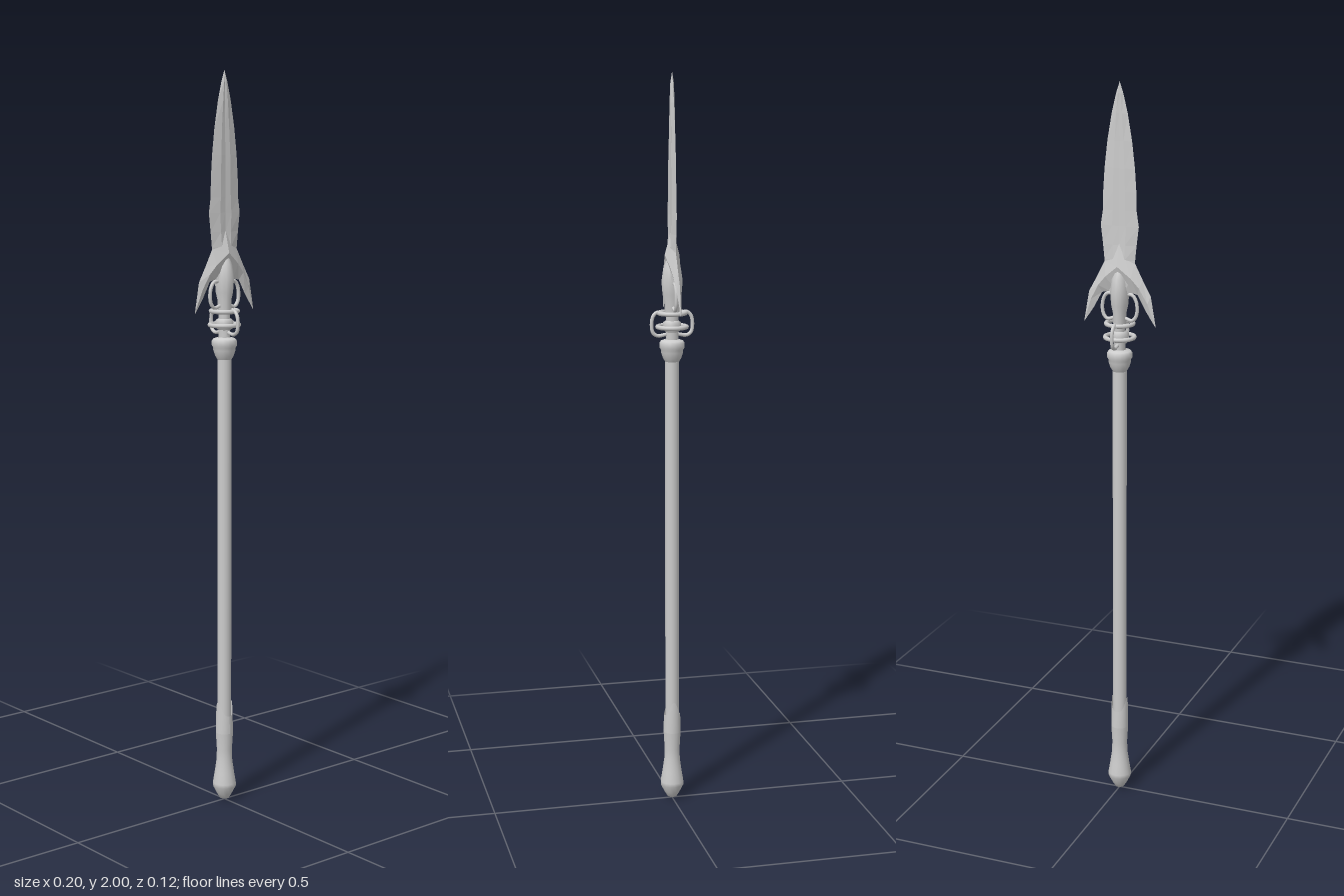
import * as THREE from 'three';

const steel = new THREE.MeshStandardMaterial({ color: 0xcccccc, side: THREE.DoubleSide });
const facetedSteel = new THREE.MeshStandardMaterial({ color: 0xcccccc, flatShading: true, side: THREE.DoubleSide });

function add(group, name, geometry, material = steel) {
  const mesh = new THREE.Mesh(geometry, material);
  mesh.name = name;
  group.add(mesh);
  return mesh;
}

const lathe = (points, sides = 16) =>
  new THREE.LatheGeometry(points.map(([r, y]) => new THREE.Vector2(r, y)), sides);

// Skin thin sections; each station is [edgeAx, edgeAy, edgeBx, edgeBy, halfThickness].
// The profile gives position across (1 = edge A, -1 = edge B) and relative thickness.
function loftBlade(stations, profile) {
  const positions = [], index = [], n = profile.length;
  for (const [ax, ay, bx, by, t] of stations) {
    for (const [s, k] of profile) {
      const a = (1 + s) / 2, b = (1 - s) / 2;
      positions.push(ax * a + bx * b, ay * a + by * b, t * k);
    }
  }
  for (let i = 0; i < stations.length - 1; i++) {
    for (let j = 0; j < n; j++) {
      const a = i * n + j, b = i * n + (j + 1) % n;
      index.push(a, a + n, b, a + n, b + n, b);
    }
  }
  const geometry = new THREE.BufferGeometry();
  geometry.setAttribute('position', new THREE.Float32BufferAttribute(positions, 3));
  geometry.setIndex(index);
  geometry.computeVertexNormals();
  return geometry;
}

// Curved bar through points [radius, y], in the x-y plane
function hookGeometry(points, radius) {
  const path = new THREE.CatmullRomCurve3(points.map(([x, y]) => new THREE.Vector3(x, y, 0)));
  return new THREE.TubeGeometry(path, 20, radius, 8);
}

export function createModel() {
  const spear = new THREE.Group();
  spear.name = 'spear';

  // Shaft and pommel
  add(spear, 'shaft', new THREE.CylinderGeometry(0.019, 0.019, 1.18, 16).translate(0, 0.69, 0));
  add(spear, 'pommel', lathe([
    [0, 0.005], [0.013, 0.01], [0.022, 0.025], [0.032, 0.045], [0.032, 0.055],
    [0.027, 0.085], [0.022, 0.12], [0.021, 0.15], [0.024, 0.2],
  ]));

  // Sleeve whose upper rim rises at the sides and dips front and back
  const sleeve = new THREE.CylinderGeometry(0.0225, 0.024, 0.07, 24, 1, true).translate(0, 0.235, 0);
  const p = sleeve.attributes.position;
  for (let i = 0; i < p.count; i++) {
    if (p.getY(i) > 0.235) p.setY(i, 0.25 + 0.04 * (p.getX(i) / 0.0225) ** 4);
  }
  sleeve.computeVertexNormals();
  add(spear, 'sleeve', sleeve);

  // Collar at the top of the shaft
  add(spear, 'collar', lathe([
    [0.019, 1.24], [0.025, 1.25], [0.03, 1.265], [0.03, 1.272],
    [0.034, 1.278], [0.034, 1.29], [0.03, 1.296], [0.018, 1.3],
  ]));

  // Neck and swelling socket
  const socket = add(spear, 'socket', lathe([
    [0.017, 1.28], [0.017, 1.36], [0.021, 1.375], [0.021, 1.4],
    [0.026, 1.42], [0.029, 1.455], [0.024, 1.49], [0.013, 1.52], [0, 1.54],
  ], 12));
  socket.scale.x = 0.85;

  // Guard rings around the neck
  for (const [y, r] of [[1.333, 0.039], [1.37, 0.036]]) {
    add(spear, 'guardRing', new THREE.TorusGeometry(r, 0.006, 8, 32).rotateX(Math.PI / 2).translate(0, y, 0));
  }
  add(spear, 'neckBand', lathe([[0.017, 1.32], [0.024, 1.325], [0.024, 1.345], [0.017, 1.35]]));

  // Curled hooks: front and back around the rings, left and right below the blade
  const ringHook = hookGeometry([[0.017, 1.313], [0.04, 1.31], [0.053, 1.32], [0.053, 1.36], [0.04, 1.373], [0.017, 1.366]], 0.005);
  const sideHook = hookGeometry([[0.015, 1.385], [0.035, 1.38], [0.047, 1.395], [0.047, 1.43], [0.036, 1.448], [0.018, 1.45]], 0.005);
  for (const side of [1, -1]) {
    add(spear, 'ringHook', ringHook).rotation.y = side * Math.PI / 2;
    add(spear, 'sideHook', sideHook).rotation.y = side > 0 ? 0 : Math.PI;
  }

  // Blade with a shallow groove between two ridges: [y, half width, half thickness]
  const rows = [
    [1.45, 0.03, 0.014], [1.5, 0.04, 0.012], [1.54, 0.043, 0.009], [1.58, 0.047, 0.007],
    [1.63, 0.053, 0.006], [1.67, 0.047, 0.006], [1.72, 0.046, 0.006], [1.78, 0.042, 0.006],
    [1.85, 0.034, 0.005], [1.92, 0.022, 0.005], [1.97, 0.01, 0.004], [2, 0, 0],
  ].map(([y, w, t]) => [w, y, -w, y, t]);
  add(spear, 'blade', loftBlade(rows, [
    [1, 0], [0.36, 1], [0, 0.65], [-0.36, 1], [-1, 0], [-0.36, -1], [0, -0.65], [0.36, -1],
  ]), facetedSteel);

  // Swept-back barbs
  const barb = loftBlade([
    [0, 1.45, 0, 1.6, 0.02], [0.03, 1.455, 0.042, 1.535, 0.014], [0.05, 1.45, 0.065, 1.49, 0.01],
    [0.072, 1.41, 0.087, 1.45, 0.006], [0.1, 1.368, 0.101, 1.37, 0],
  ], [[1, 0], [0, 1], [-1, 0], [0, -1]]);
  for (const side of [1, -1]) {
    add(spear, side > 0 ? 'leftBarb' : 'rightBarb', barb, facetedSteel).rotation.y = side > 0 ? 0 : Math.PI;
  }

  return spear;
}
